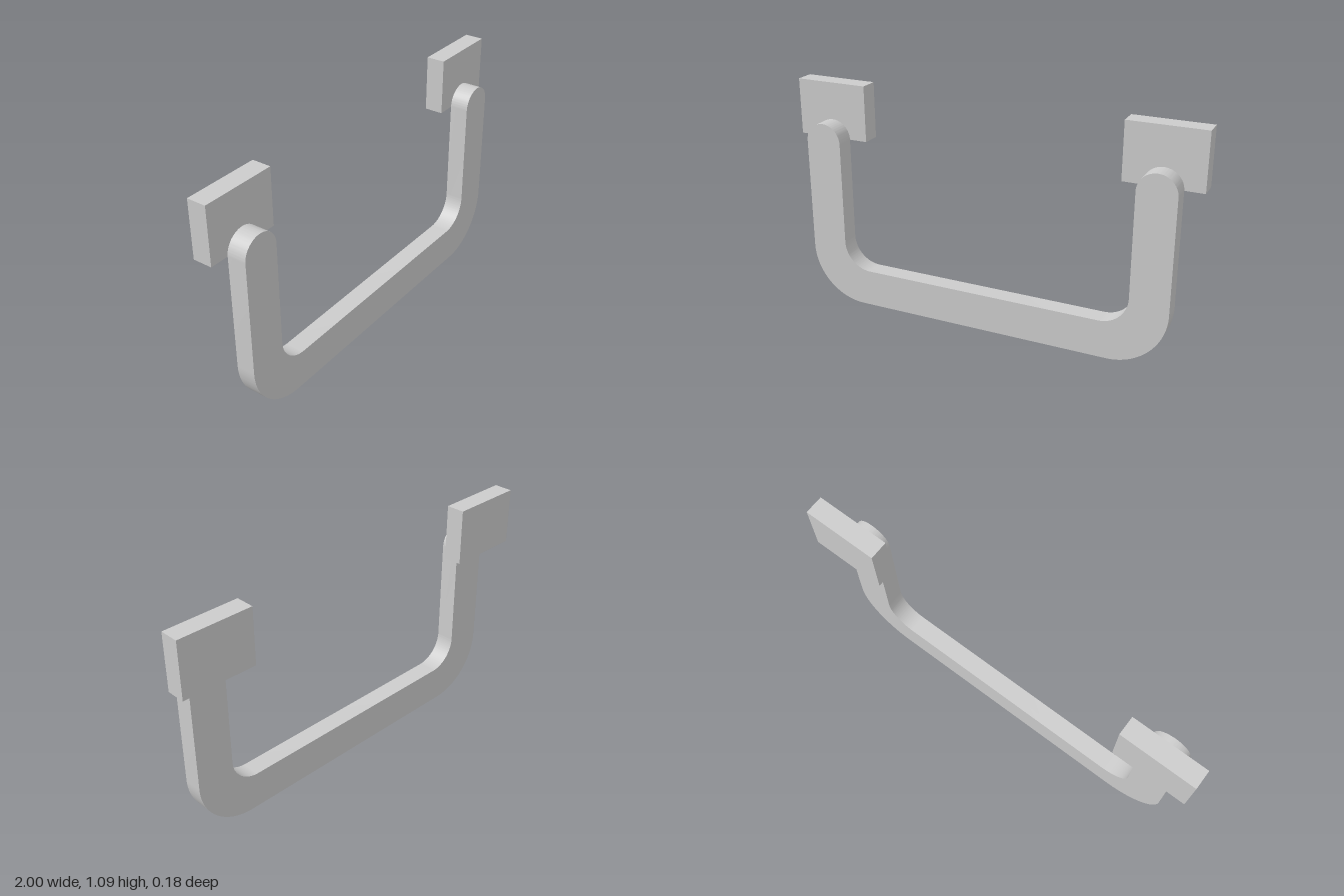
import * as THREE from 'three';
import { toCreasedNormals } from 'three/addons/utils/BufferGeometryUtils.js';

const U = 1 / 11; // base unit: half the bar width

export function createModel() {
  const group = new THREE.Group();
  const material = new THREE.MeshStandardMaterial({ color: 0xcccccc });
  const PI = Math.PI;

  // U-shaped bar outline: rounded outer corners, round leg ends, tighter inner corners
  const outline = new THREE.Shape();
  const arc = (x, y, r, a, b, clockwise = false) =>
    outline.absarc(x * U, y * U, r * U, a, b, clockwise);
  outline.moveTo(-10 * U, 9 * U);
  arc(-7, 3, 3, PI, 1.5 * PI);
  arc(7, 3, 3, 1.5 * PI, 2 * PI);
  arc(9, 9, 1, 0, PI);
  arc(6.5, 3.5, 1.5, 0, -PI / 2, true);
  arc(-6.5, 3.5, 1.5, -PI / 2, -PI, true);
  arc(-9, 9, 1, 0, PI);

  const barGeometry = new THREE.ExtrudeGeometry(outline, {
    depth: U, bevelEnabled: false, curveSegments: 24,
  });
  const bar = new THREE.Mesh(toCreasedNormals(barGeometry, PI / 6), material);
  bar.name = 'handleBar';
  group.add(bar);

  // Mounting plates behind the leg ends
  for (const side of [-1, 1]) {
    const plate = new THREE.Mesh(new THREE.BoxGeometry(4 * U, 3 * U, U), material);
    plate.position.set(side * 9 * U, 10.5 * U, -U / 2);
    plate.name = side > 0 ? 'leftMountingPlate' : 'rightMountingPlate';
    group.add(plate);
  }

  return group;
}
